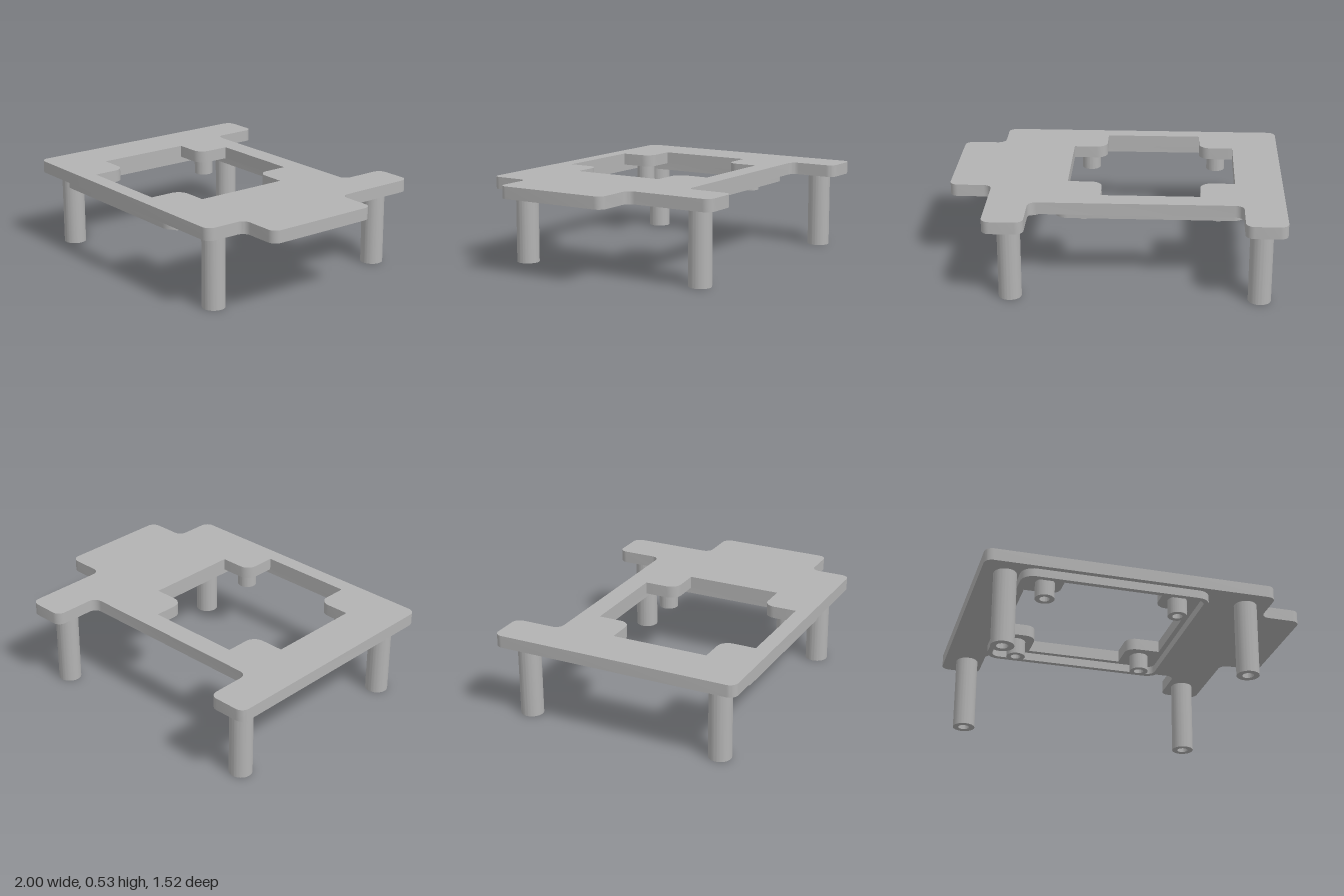
import * as THREE from 'three';
import { toCreasedNormals } from 'three/addons/utils/BufferGeometryUtils.js';

// Right-angled outline from [x, z, cornerRadius] entries
function outline(corners) {
  const points = [];
  const n = corners.length;
  corners.forEach(([x, z, r], i) => {
    const p = new THREE.Vector2(x, z);
    if (!r) { points.push(p); return; }
    const toward = (c) => new THREE.Vector2(c[0], c[1]).sub(p).normalize();
    const a = toward(corners[(i + n - 1) % n]);
    const b = toward(corners[(i + 1) % n]);
    for (let k = 0; k <= 8; k++) {
      const t = (k / 8) * Math.PI / 2;
      points.push(new THREE.Vector2(
        x + r * (a.x + b.x - b.x * Math.cos(t) - a.x * Math.sin(t)),
        z + r * (a.y + b.y - b.y * Math.cos(t) - a.y * Math.sin(t))));
    }
  });
  return points;
}

function roundedSquare(cx, cz, half, r) {
  return outline([[cx - half, cz - half, r], [cx + half, cz - half, r],
    [cx + half, cz + half, r], [cx - half, cz + half, r]]);
}

function circle(r) {
  return new THREE.Path().absarc(0, 0, r, 0, Math.PI * 2).getPoints(32).slice(0, -1);
}

// Horizontal slab between two heights, with one opening
function slab(name, outer, inner, bottom, top, material) {
  const shape = new THREE.Shape(outer);
  shape.holes.push(new THREE.Path(inner));
  const geometry = new THREE.ExtrudeGeometry(shape, { depth: top - bottom, bevelEnabled: false });
  geometry.rotateX(Math.PI / 2).translate(0, top, 0);
  const mesh = new THREE.Mesh(toCreasedNormals(geometry, 0.6), material);
  mesh.name = name;
  return mesh;
}

export function createModel() {
  const model = new THREE.Group();
  model.name = 'mountingPlate';
  const grey = new THREE.MeshStandardMaterial({ color: 0xb3b3b3 });
  grey.name = 'plain grey';

  const cx = -0.21, cz = 0.163;
  const under = 0.456, top = 0.53;

  // Plate with two rear arms, a side tab and a cross-shaped opening
  const r = 0.05;
  const plateEdge = outline([
    [-1, 0.762, r], [0.745, 0.762, r], [0.745, 0.507, r], [1, 0.507, r],
    [1, -0.217, r], [0.745, -0.217, r], [0.745, -0.762, r], [0.503, -0.762, r],
    [0.503, -0.467, r], [-0.757, -0.467, r], [-0.757, -0.762, r], [-1, -0.762, r],
  ]);
  const w = 0.504, s = 0.295, t = 0.068;
  const opening = outline([
    [-s, -w, 0], [s, -w, 0], [s, -s, t], [w, -s, 0], [w, s, 0], [s, s, t],
    [s, w, 0], [-s, w, 0], [-s, s, t], [-w, s, 0], [-w, -s, 0], [-s, -s, t],
  ].map(([x, z, radius]) => [cx + x, cz + z, radius]));
  model.add(slab('plate', plateEdge, opening, under, top, grey));

  // Shallow rim below the opening
  model.add(slab('rim', roundedSquare(cx, cz, 0.566, 0.08),
    roundedSquare(cx, cz, 0.535, 0.05), 0.406, under, grey));

  // Hollow legs
  for (const x of [-0.857, 0.603]) {
    for (const z of [-0.615, 0.615]) {
      const leg = slab('leg', circle(0.068), circle(0.034), 0, under, grey);
      leg.position.set(x, 0, z);
      model.add(leg);
    }
  }

  // Short hollow bosses under the opening's corner tabs
  for (const dx of [-0.402, 0.402]) {
    for (const dz of [-0.402, 0.402]) {
      const boss = slab('boss', circle(0.058), circle(0.03), 0.355, under, grey);
      boss.position.set(cx + dx, 0, cz + dz);
      model.add(boss);
    }
  }
  return model;
}
